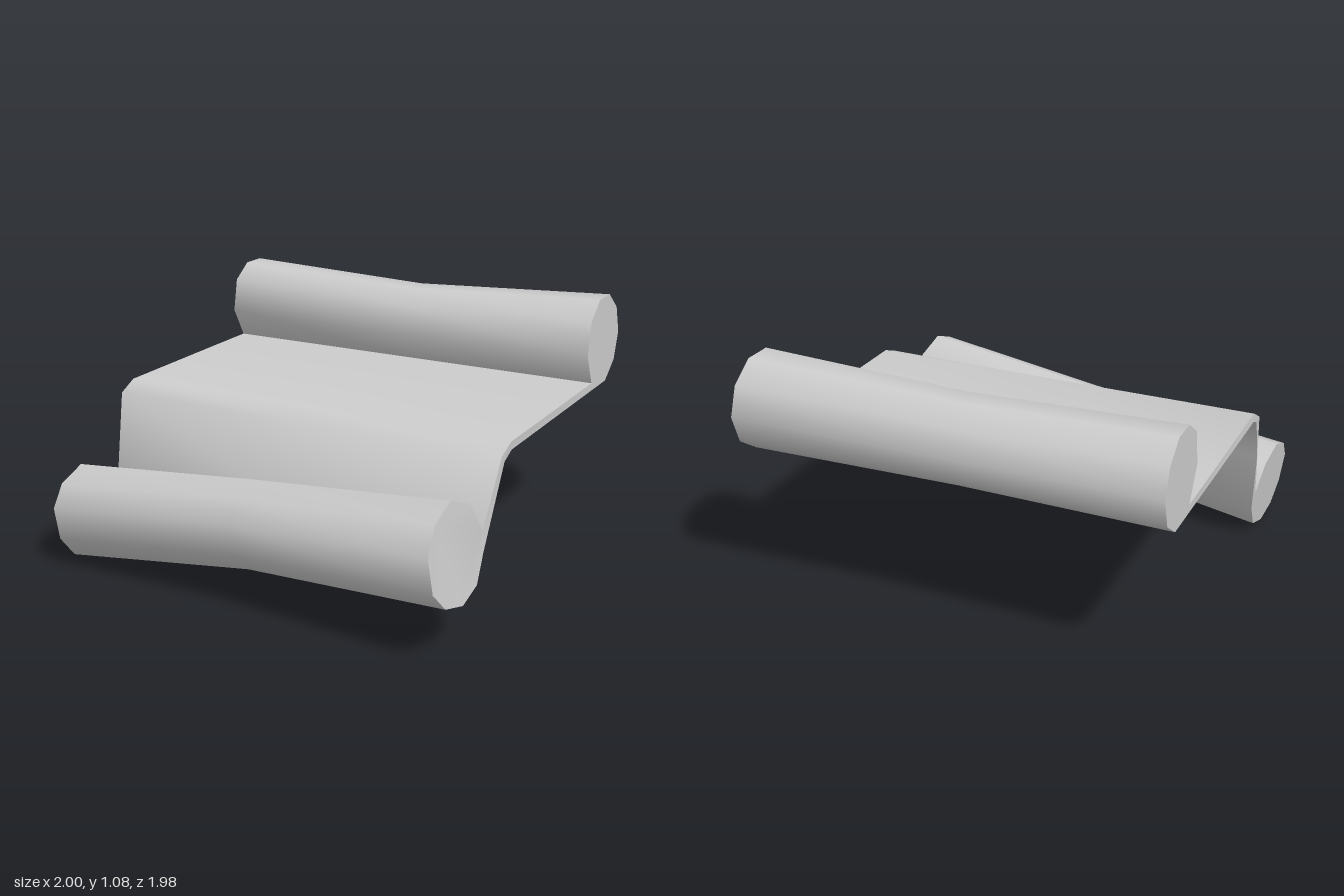
import * as THREE from 'three';
import { toCreasedNormals } from 'three/addons/utils/BufferGeometryUtils.js';

// Outline of the sheet and its two rolls at each end, as [z, y] points
const leftOutline = [
  // back roll
  [-0.64, 0.71], [-0.57, 0.85], [-0.6, 1.0], [-0.7, 1.08], [-0.83, 1.08],
  [-0.94, 1.0], [-0.985, 0.875], [-0.94, 0.75], [-0.83, 0.675],
  // underside of the sheet
  [-0.3, 0.675], [0.29, 0.675], [0.36, 0.645], [0.45, 0.52],
  // front roll
  [0.58, 0.345], [0.65, 0.24], [0.77, 0.2], [0.9, 0.235], [0.98, 0.32],
  [0.99, 0.46], [0.92, 0.57], [0.79, 0.62], [0.65, 0.565], [0.57, 0.43],
  // top of the sheet
  [0.39, 0.675], [0.3, 0.71], [-0.3, 0.71],
];
const rightOutline = [
  [-0.53, 0.71], [-0.45, 0.85], [-0.48, 1.0], [-0.58, 1.068], [-0.7, 1.068],
  [-0.8, 0.99], [-0.84, 0.87], [-0.8, 0.745], [-0.7, 0.675],
  [-0.25, 0.675], [0.4, 0.675], [0.455, 0.65], [0.5, 0.46],
  [0.565, 0.16], [0.65, 0.04], [0.78, 0], [0.9, 0.035], [0.97, 0.13],
  [0.98, 0.27], [0.91, 0.36], [0.78, 0.41], [0.65, 0.36], [0.575, 0.24],
  [0.49, 0.665], [0.41, 0.71], [-0.25, 0.71],
];

// The ends are skewed along the sheet and lean outward down the front roll
const leftX = (z, y) => z > 0.4
  ? 0.95 + Math.max(0, 0.62 - y) * 0.119
  : 0.885 + (z + 0.57) * 0.072;
const rightX = (z, y) => z > 0.4
  ? -0.9 + Math.max(0, 0.41 - y) * 0.122
  : -0.97 + (z + 0.45) * 0.077;

function sectionRows() {
  const left = leftOutline.map(([z, y]) => new THREE.Vector3(leftX(z, y), y, z));
  const right = rightOutline.map(([z, y]) => new THREE.Vector3(rightX(z, y), y, z));
  // Halfway along, both rolls are pinched towards the side that meets the sheet
  const middle = left.map((p, i) => {
    const m = p.clone().lerp(right[i], 0.5);
    const squeeze = (ay, az) => {
      m.y = ay + (m.y - ay) * 0.91;
      m.z = az + (m.z - az) * 0.91;
    };
    if (i > 0 && i <= 8) squeeze(0.675, -0.51);
    if (i >= 13 && i <= 22) squeeze(0.515, 0.572);
    return m;
  });
  return [right, middle, left];
}

function scrollGeometry() {
  const rows = sectionRows();
  const n = leftOutline.length;
  const index = [];

  // skin between the cross-sections
  for (let r = 0; r < rows.length - 1; r++) {
    for (let i = 0; i < n; i++) {
      const a = r * n + i;
      const b = r * n + ((i + 1) % n);
      index.push(a, a + n, b, b, a + n, b + n);
    }
  }

  // end faces
  const capEnd = (row, flip) => {
    const flat = rows[row].map((p) => new THREE.Vector2(p.z, p.y));
    for (const [a, b, c] of THREE.ShapeUtils.triangulateShape(flat, [])) {
      const o = row * n;
      if (flip) index.push(o + a, o + c, o + b);
      else index.push(o + a, o + b, o + c);
    }
  };
  capEnd(0, false);
  capEnd(rows.length - 1, true);

  const geometry = new THREE.BufferGeometry().setFromPoints(rows.flat());
  geometry.setIndex(index);
  return toCreasedNormals(geometry, 1.1);
}

export function createModel() {
  const group = new THREE.Group();
  group.name = 'scroll';
  const paper = new THREE.MeshStandardMaterial({ color: 0xcccccc });
  paper.name = 'paper grey';
  const sheet = new THREE.Mesh(scrollGeometry(), paper);
  sheet.name = 'rolledSheet';
  group.add(sheet);
  return group;
}
